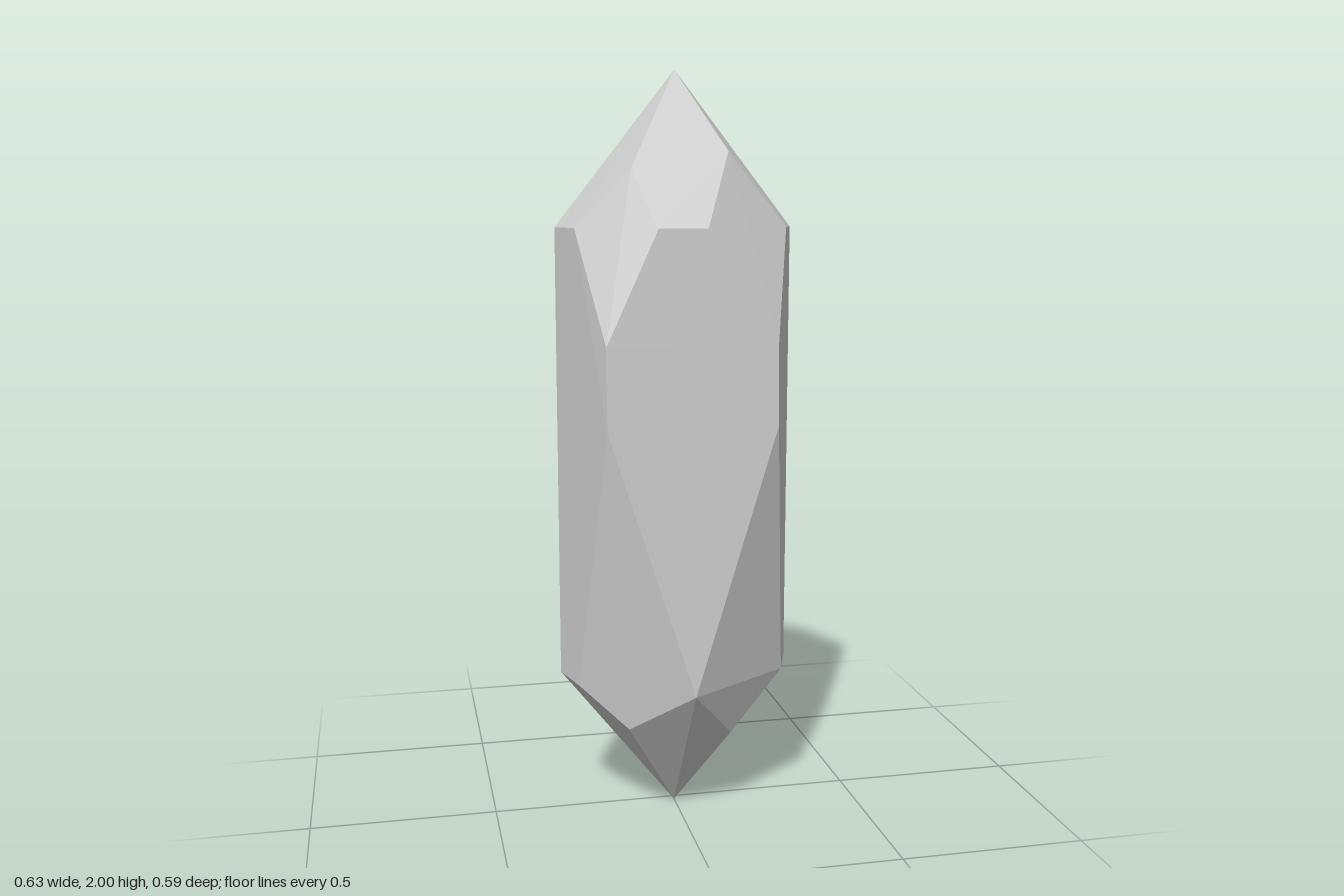
import * as THREE from 'three';
import { ConvexGeometry } from 'three/addons/geometries/ConvexGeometry.js';

export function createModel() {
  const group = new THREE.Group();
  group.name = 'crystal';
  const points = [];
  const add = (x, y, z) => points.push(new THREE.Vector3(x, y, z));

  const radius = 0.316, axisZ = 0.02;

  // pointed tips
  add(0, 2, axisZ);
  add(0, 0, axisZ);

  // back half of the octagonal shaft, from the left side round to the right
  for (const y of [0.4, 1.6]) {
    for (let i = 0; i <= 4; i++) {
      const a = (i * Math.PI) / 4;
      add(radius * Math.cos(a), y, axisZ - radius * Math.sin(a));
    }
  }

  // bevelled upper shoulders and leaning front panel
  add(-0.141, 1.747, 0.165);
  add(0.116, 1.792, 0.137);
  add(-0.279, 1.6, 0.119);
  add(0.277, 1.6, 0.118);
  add(-0.087, 1.6, 0.246);
  add(0.04, 1.6, 0.243);
  for (const [y, z] of [[1.31, 0.2565], [1.1, 0.265]]) {
    add(-0.223, y, z + 0.0055);
    add(0.223, y, z - 0.0055);
  }

  // bevelled lower shoulders meeting at the front corner
  add(0, 0.4, 0.295);
  add(-0.28, 0.39, 0.11);
  add(0.28, 0.4, 0.118);
  add(-0.155, 0.28, 0.176);
  add(0.13, 0.24, 0.152);

  const body = new THREE.Mesh(
    new ConvexGeometry(points),
    new THREE.MeshStandardMaterial({ color: 0xcccccc, flatShading: true })
  );
  body.name = 'crystalBody';
  group.add(body);
  return group;
}
